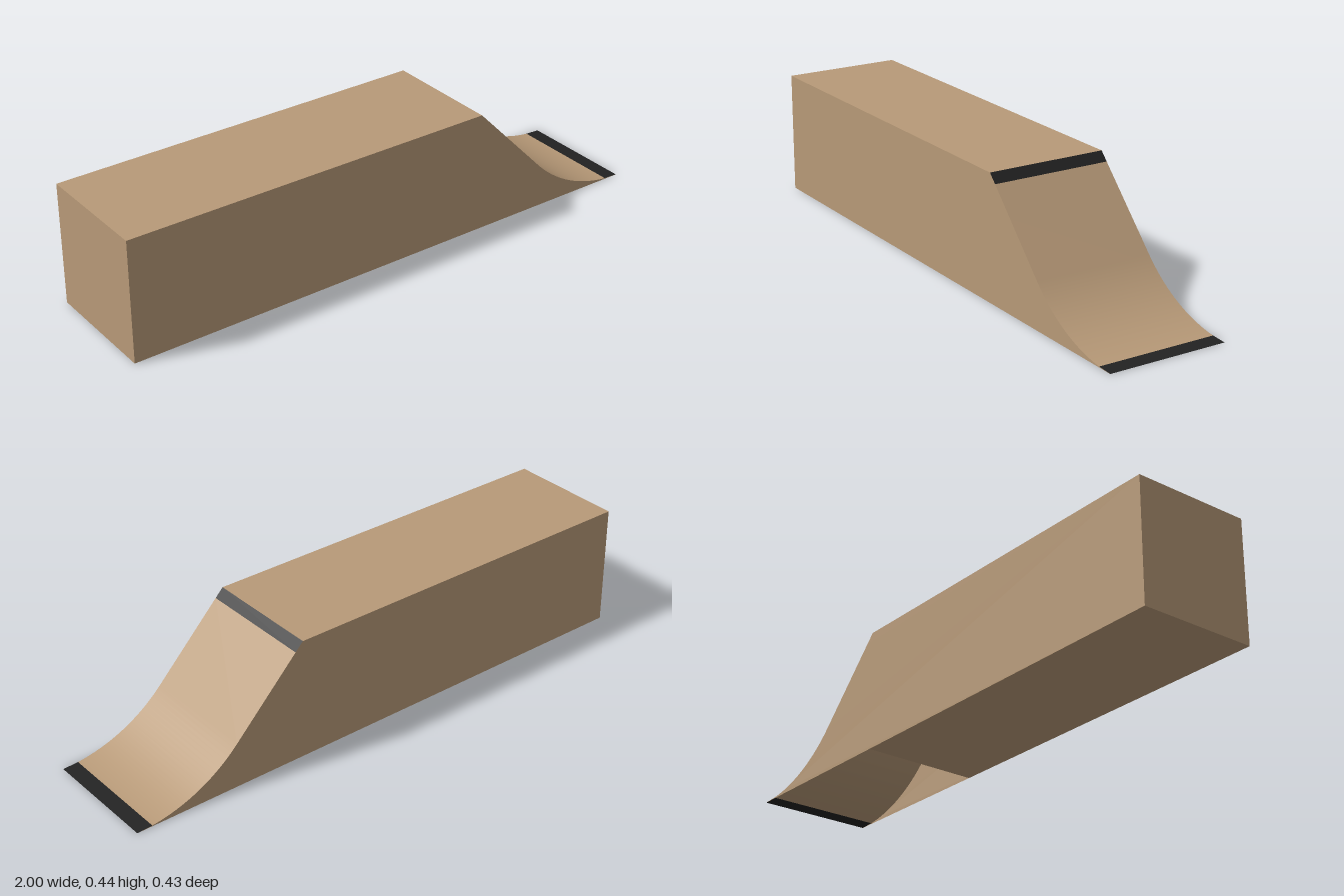
import * as THREE from 'three';

const HALF_DEPTH = 0.213, HEIGHT = 0.435, LIP_X = 0.355;

const wood = new THREE.MeshStandardMaterial({ color: 0xb89a78, side: THREE.DoubleSide });
wood.name = 'tan wood';
const edging = new THREE.MeshStandardMaterial({ color: 0x222222, side: THREE.DoubleSide });
edging.name = 'black edging';

// Sheet that follows a profile in x and y and spans the full depth
function sheet(name, points, isEdging = () => false) {
  const n = points.length - 1;
  const geometry = new THREE.PlaneGeometry(n, 2 * HALF_DEPTH, n, 1);
  const pos = geometry.attributes.position;
  for (let i = 0; i < pos.count; i++) {
    const [x, y] = points[i % (n + 1)];
    pos.setXYZ(i, x, y, -pos.getY(i));
  }
  geometry.computeVertexNormals();
  for (let i = 0; i < n; i++) geometry.addGroup(i * 6, 6, isEdging(i) ? 1 : 0);
  const mesh = new THREE.Mesh(geometry, [wood, edging]);
  mesh.name = name;
  return mesh;
}

// Straight slope that runs into a circular arc, level at the toe
function rampProfile() {
  const angle = THREE.MathUtils.degToRad(46);
  const meet = LIP_X + HEIGHT / Math.tan(angle);
  const radius = (1 - meet) / Math.tan(angle / 2);
  const points = [[LIP_X, HEIGHT], [LIP_X + 0.03 / Math.tan(angle), HEIGHT - 0.03]];
  const toeAngle = Math.asin(0.055 / radius);
  const steps = 24;
  for (let i = 0; i <= steps; i++) {
    const a = THREE.MathUtils.lerp(angle, toeAngle, i / steps);
    points.push([1 - radius * Math.sin(a), radius * (1 - Math.cos(a))]);
  }
  points.push([1, 0]);
  return points;
}

export function createModel() {
  const model = new THREE.Group();
  model.name = 'ramp';

  // Deck, end wall and the floor, which stops below the lip
  model.add(
    sheet('deck', [[-1, HEIGHT], [LIP_X, HEIGHT]]),
    sheet('endWall', [[-1, 0], [-1, HEIGHT]]),
    sheet('floor', [[LIP_X, 0], [-1, 0]])
  );

  // Sloping surface with black strips at the lip and toe
  const profile = rampProfile();
  const last = profile.length - 2;
  model.add(sheet('slope', profile, (i) => i === 0 || i === last));

  // Side panels
  const outline = new THREE.Shape(
    [[-1, HEIGHT], [-1, 0], [1, 0], ...profile.slice(0, -1).reverse()].map(([x, y]) => new THREE.Vector2(x, y))
  );
  for (const side of [1, -1]) {
    const panel = new THREE.Mesh(new THREE.ShapeGeometry(outline), wood);
    panel.name = side > 0 ? 'frontPanel' : 'backPanel';
    panel.position.z = side * HALF_DEPTH;
    model.add(panel);
  }
  return model;
}
